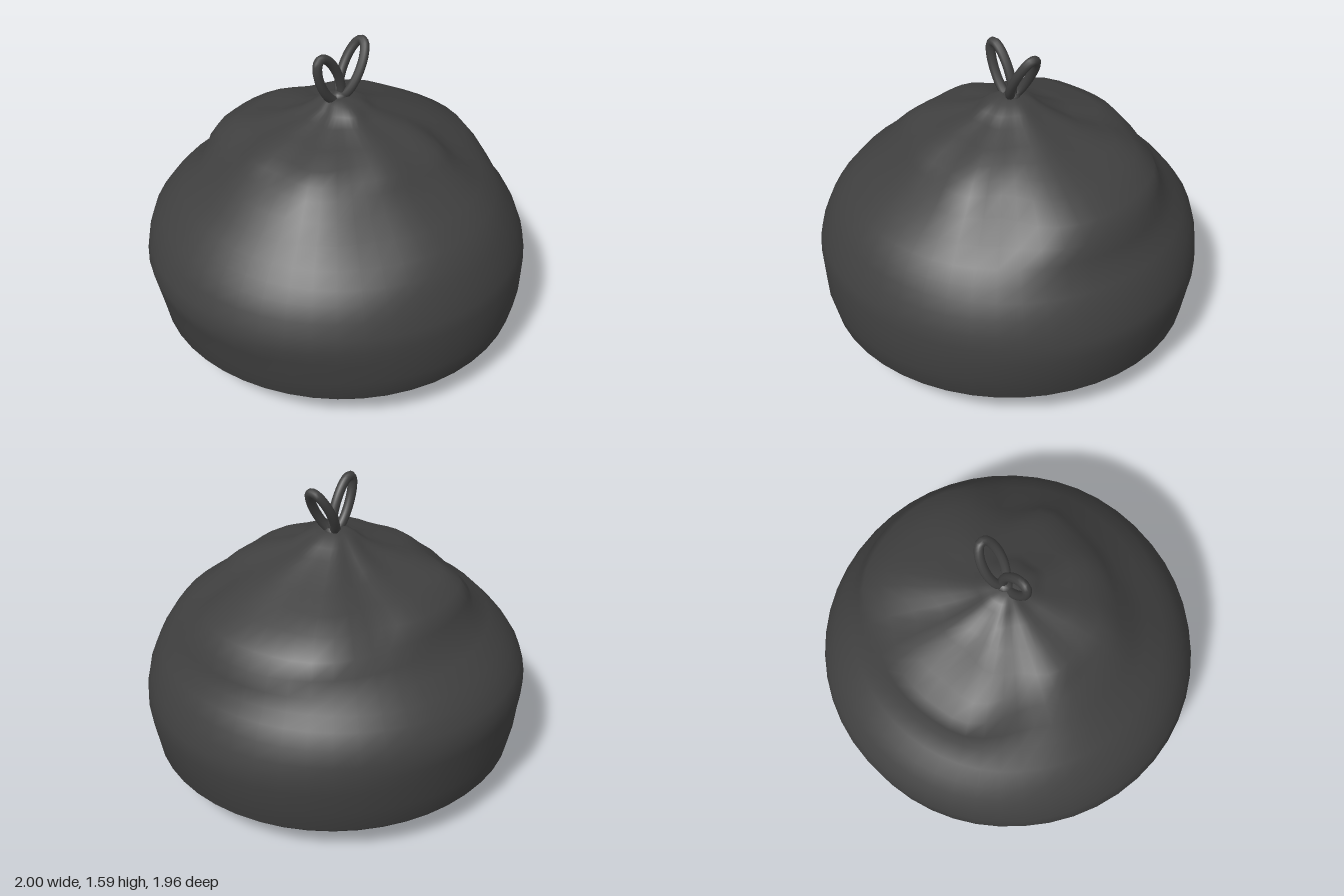
import * as THREE from 'three';

const SIDES = 48;

// Bag outline: height, then radius towards +x, +z, -x, -z
const ROWS = [
  [0.005, 0, 0, 0, 0],
  [0.012, 0.3, 0.3, 0.3, 0.3],
  [0.03, 0.52, 0.52, 0.5, 0.52],
  [0.06, 0.68, 0.69, 0.67, 0.72],
  [0.11, 0.82, 0.82, 0.8, 0.83],
  [0.16, 0.935, 0.93, 0.905, 0.915],
  [0.18, 0.955, 0.95, 0.925, 0.93],
  [0.3, 0.975, 0.98, 0.95, 0.955],
  [0.42, 1, 0.98, 0.98, 0.965],
  [0.5, 0.99, 0.98, 1, 0.975],
  [0.57, 0.97, 0.97, 0.98, 0.98],
  [0.65, 0.94, 0.94, 0.95, 0.96],
  [0.72, 0.9, 0.91, 0.91, 0.91],
  [0.78, 0.855, 0.875, 0.86, 0.86],
  [0.85, 0.83, 0.82, 0.8, 0.78],
  [0.92, 0.805, 0.73, 0.71, 0.7],
  [1.0, 0.75, 0.61, 0.64, 0.67],
  [1.07, 0.62, 0.54, 0.55, 0.62],
  [1.12, 0.52, 0.49, 0.49, 0.51],
  [1.16, 0.42, 0.42, 0.43, 0.34],
  [1.2, 0.33, 0.34, 0.3, 0.25],
  [1.24, 0.23, 0.21, 0.17, 0.18],
  [1.28, 0.16, 0.165, 0.1, 0.13],
  [1.31, 0.11, 0.11, 0.07, 0.09],
  [1.322, 0.05, 0.05, 0.04, 0.05],
  [1.32, 0, 0, 0, 0],
];

// Soft dents and bulges: angle, height, angular width, height spread, depth
const FOLDS = [
  [0.75, 1.02, 0.22, 0.13, -0.07],
  [1.15, 1.1, 0.2, 0.12, 0.03],
  [2.1, 0.92, 0.25, 0.12, -0.03],
  [2.6, 1.1, 0.25, 0.1, 0.03],
  [3.7, 1.05, 0.22, 0.13, -0.04],
  [4.2, 1.08, 0.2, 0.1, 0.03],
  [5.25, 1.12, 0.2, 0.1, -0.05],
  [5.7, 1.05, 0.25, 0.12, 0.03],
];

function radiusAt(row, angle) {
  const q = (angle / (Math.PI / 2)) % 4;
  const k = Math.floor(q);
  const t = 0.5 - 0.5 * Math.cos((q - k) * Math.PI);
  let r = row[1 + k] * (1 - t) + row[1 + ((k + 1) % 4)] * t;
  const base = r;
  for (const [a, y, wa, wy, depth] of FOLDS) {
    const da = Math.atan2(Math.sin(angle - a), Math.cos(angle - a)) / wa;
    const dy = (row[0] - y) / wy;
    r += depth * Math.min(1, base / 0.5) * Math.exp(-da * da - dy * dy);
  }
  // fine gathers running into the neck
  const gather = Math.max(0, 1 - Math.abs(row[0] - 1.22) / 0.14);
  return r * (1 + 0.05 * gather * Math.sin(angle * 8));
}

function bagGeometry() {
  const positions = [];
  const index = [];
  ROWS.forEach((row, i) => {
    for (let j = 0; j < SIDES; j++) {
      const angle = (j / SIDES) * Math.PI * 2;
      const r = radiusAt(row, angle);
      positions.push(r * Math.cos(angle), row[0], r * Math.sin(angle));
      if (i === ROWS.length - 1) continue;
      const a = i * SIDES + j;
      const b = i * SIDES + ((j + 1) % SIDES);
      index.push(a, a + SIDES, b, b, a + SIDES, b + SIDES);
    }
  });
  const geometry = new THREE.BufferGeometry();
  geometry.setAttribute('position', new THREE.Float32BufferAttribute(positions, 3));
  geometry.setIndex(index);
  geometry.computeVertexNormals();
  return geometry;
}

// Elongated tie loop around a centre, spanned by a long and a short half axis
function loopGeometry(center, long, short) {
  const points = [];
  for (let i = 0; i < 16; i++) {
    const a = (i / 16) * Math.PI * 2;
    points.push(center.clone().addScaledVector(long, Math.cos(a)).addScaledVector(short, Math.sin(a)));
  }
  return new THREE.TubeGeometry(new THREE.CatmullRomCurve3(points, true), 40, 0.024, 10, true);
}

export function createModel() {
  const model = new THREE.Group();
  model.name = 'tiedBag';
  const material = new THREE.MeshStandardMaterial({ color: 0x404040 });
  const add = (name, geometry) => {
    const mesh = new THREE.Mesh(geometry, material);
    mesh.name = name;
    model.add(mesh);
    return mesh;
  };
  const v = (x, y, z) => new THREE.Vector3(x, y, z);

  add('bagBody', bagGeometry());

  // Bow: one loop seen flat from the front, one turned sideways
  add('rightTieLoop', loopGeometry(v(-0.05, 1.43, 0), v(-0.065, 0.13, 0), v(0.05, 0.025, 0)));
  add('leftTieLoop', loopGeometry(v(0.105, 1.445, 0), v(0.072, 0.125, 0), v(0, 0, 0.054)));

  // Knot under the loops
  const knot = add('knot', new THREE.SphereGeometry(0.045, 14, 10));
  knot.position.set(0.025, 1.315, 0);
  knot.scale.set(1, 0.7, 0.9);

  return model;
}
